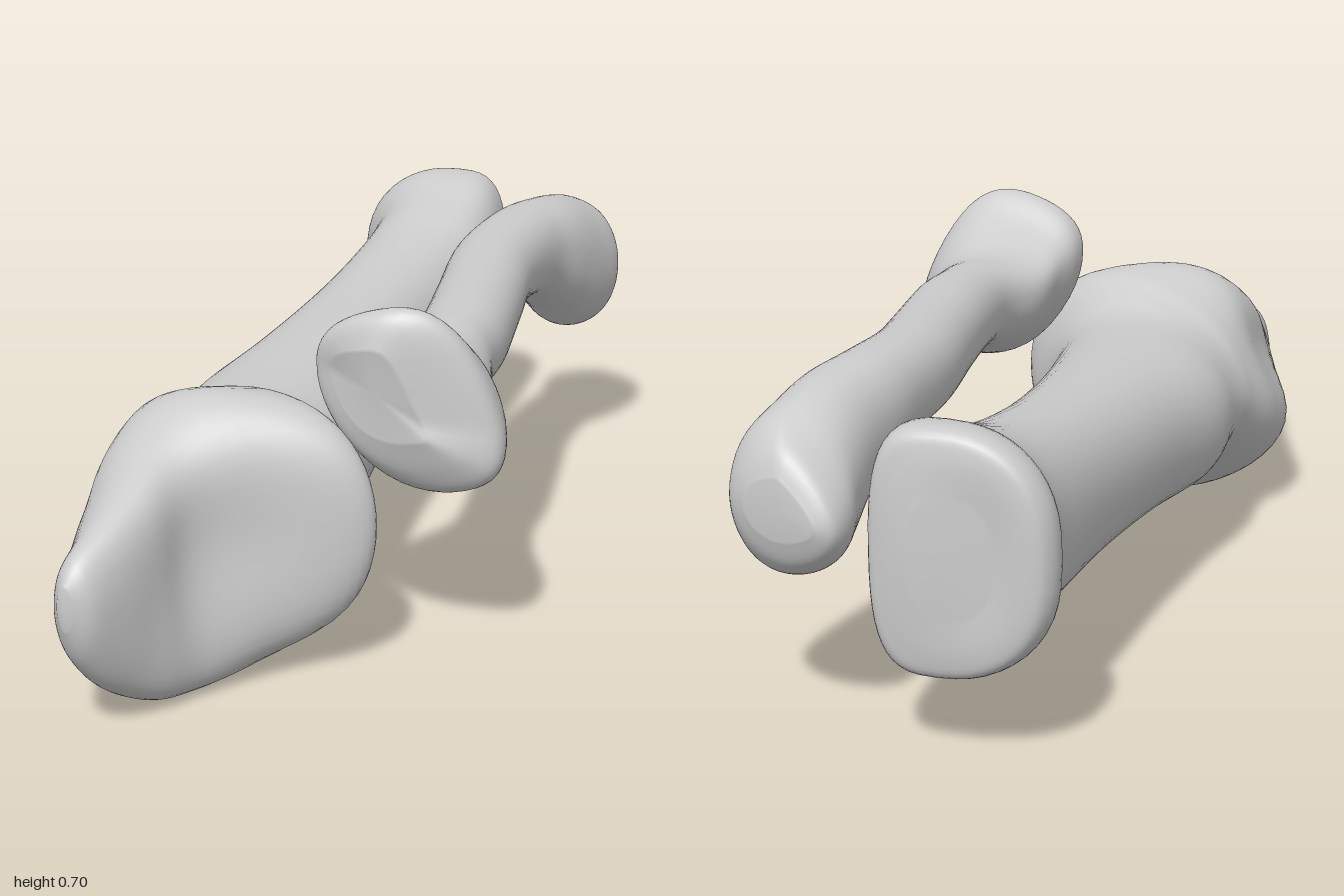
import * as THREE from 'three';

const SIDES = 48, STEPS = 6;

// Catmull-Rom blend of the numbers in neighbouring rows
function blend(rows, i, t) {
  const row = k => rows[Math.min(Math.max(k, 0), rows.length - 1)];
  const [a, b, c, d] = [row(i - 1), row(i), row(i + 1), row(i + 2)];
  return b.map((v, k) => v + 0.5 * t * (c[k] - a[k]
    + t * (2 * a[k] - 5 * v + 4 * c[k] - d[k] + t * (3 * (v - c[k]) + d[k] - a[k]))));
}

// Row: back x, back z, front x, front z, bottom y, top y, forward lean of the crest, roundness power
function loftBone(rows, sculpt) {
  const rings = [];
  for (let i = 0; i < rows.length - 1; i++)
    for (let s = 0; s < STEPS; s++) rings.push(blend(rows, i, s / STEPS));
  rings.push(rows[rows.length - 1]);

  const pos = [], index = [], p = new THREE.Vector3();
  const add = () => pos.push(p.x, p.y, p.z);
  for (const [xb, zb, xf, zf, y0, y1, lean, power] of rings) {
    for (let j = 0; j < SIDES; j++) {
      const a = j / SIDES * Math.PI * 2, c = Math.cos(a), s = Math.sin(a);
      const u = Math.sign(c) * Math.abs(c) ** (2 / power);
      const v = Math.sign(s) * Math.abs(s) ** (2 / power);
      const w = (1 + u + lean * (1 - u * u)) / 2;
      p.set(xb + (xf - xb) * w, (y0 + y1) / 2 + v * (y1 - y0) / 2, zb + (zf - zb) * w);
      sculpt(p, u, v);
      add();
    }
  }
  for (let r = 0; r < rings.length - 1; r++)
    for (let j = 0; j < SIDES; j++) {
      const a = r * SIDES + j, b = r * SIDES + (j + 1) % SIDES;
      index.push(a, a + SIDES, b, b, a + SIDES, b + SIDES);
    }
  // rounded-off ends close to a centre point
  const n = rings.length;
  for (const [r, start] of [[0, true], [n - 1, false]]) {
    const [xb, zb, xf, zf, y0, y1] = rings[r];
    p.set((xb + xf) / 2 + (start ? -0.004 : 0.004), (y0 + y1) / 2, (zb + zf) / 2);
    const centre = pos.length / 3;
    add();
    for (let j = 0; j < SIDES; j++) {
      const a = r * SIDES + j, b = r * SIDES + (j + 1) % SIDES;
      if (start) index.push(centre, a, b); else index.push(centre, b, a);
    }
  }
  const g = new THREE.BufferGeometry();
  g.setAttribute('position', new THREE.Float32BufferAttribute(pos, 3));
  g.setIndex(index);
  g.computeVertexNormals();
  return g;
}

const bump = (v, centre, width) => Math.exp(-(((v - centre) / width) ** 2));

export function createModel() {
  const group = new THREE.Group();
  const material = new THREE.MeshStandardMaterial({ color: 0xcccccc });
  const addBone = (name, geometry) => {
    const mesh = new THREE.Mesh(geometry, material);
    mesh.name = name;
    group.add(mesh);
  };

  // thick bone: flared plate-like head, straight shaft, boxy far end
  const large = [
    [-1.0, 0.12, -0.995, 0.15, 0.22, 0.3, 0, 2],
    [-0.97, 0.085, -0.965, 0.178, 0.15, 0.34, 0, 2],
    [-0.9, 0.04, -0.9, 0.19, 0.075, 0.375, 0.2, 2.1],
    [-0.8, -0.05, -0.8, 0.2, 0.018, 0.42, 0.45, 2.1],
    [-0.7, -0.13, -0.7, 0.215, 0, 0.47, 0.5, 2.1],
    [-0.58, -0.17, -0.58, 0.285, 0.008, 0.53, 0.35, 2],
    [-0.48, -0.17, -0.46, 0.385, 0.055, 0.525, 0.22, 2],
    [-0.42, -0.175, -0.4, 0.365, 0.09, 0.495, 0.15, 2],
    [-0.36, -0.19, -0.34, 0.265, 0.115, 0.465, 0.05, 2.1],
    [-0.23, -0.238, -0.2, 0.185, 0.125, 0.46, 0, 2.2],
    [0, -0.28, 0.1, 0.045, 0.15, 0.47, 0, 2.2],
    [0.3, -0.355, 0.4, -0.07, 0.17, 0.49, 0, 2.2],
    [0.55, -0.43, 0.65, -0.135, 0.175, 0.52, 0, 2.3],
    [0.72, -0.485, 0.77, -0.175, 0.17, 0.56, 0.1, 2.5],
    [0.8, -0.55, 0.87, -0.215, 0.15, 0.595, 0.25, 2.6],
    [0.85, -0.555, 0.945, -0.25, 0.155, 0.595, 0.25, 2.6],
    [0.875, -0.525, 0.955, -0.285, 0.195, 0.555, 0.15, 2.6],
    [0.89, -0.47, 0.95, -0.33, 0.27, 0.48, 0, 2.4],
  ];
  addBone('largeBone', loftBone(large, (p, u, v) => {
    const head = bump(p.x, -0.65, 0.15);
    // top rim set back, hollow joint face in front, groove along the back
    p.z -= 0.07 * head * Math.max(v, 0) * (1 - u * u);
    if (u > 0) p.z -= 0.05 * u * head * bump(p.y, 0.32, 0.18);
    else p.z -= 0.06 * u * head * bump(v, 0.4, 0.4);
  }));

  // slim bone: pointed collar at one end, drooping knuckle at the other
  const small = [
    [-0.41, 0.27, -0.375, 0.44, 0.45, 0.62, 0.1, 2],
    [-0.405, 0.23, -0.325, 0.51, 0.385, 0.68, 0.1, 2],
    [-0.36, 0.215, -0.28, 0.55, 0.34, 0.695, 0.1, 2],
    [-0.3, 0.215, -0.22, 0.525, 0.35, 0.645, 0.1, 2],
    [-0.23, 0.21, -0.14, 0.445, 0.39, 0.595, 0, 2.1],
    [-0.12, 0.215, -0.04, 0.375, 0.422, 0.595, 0, 2.2],
    [0, 0.17, 0.08, 0.33, 0.427, 0.6, 0, 2.2],
    [0.2, 0.07, 0.28, 0.23, 0.435, 0.605, 0, 2.2],
    [0.4, -0.03, 0.47, 0.135, 0.435, 0.615, 0, 2.2],
    [0.6, -0.09, 0.64, 0.085, 0.42, 0.62, 0, 2.2],
    [0.74, -0.12, 0.76, 0.08, 0.355, 0.612, 0, 2.2],
    [0.84, -0.155, 0.86, 0.07, 0.29, 0.595, 0, 2.1],
    [0.91, -0.19, 0.94, 0.055, 0.285, 0.565, 0.1, 2.1],
    [0.965, -0.195, 0.98, 0.025, 0.32, 0.525, 0, 2],
    [0.99, -0.165, 0.997, -0.02, 0.37, 0.48, 0, 2],
  ];
  addBone('smallBone', loftBone(small, (p, u, v) => {
    // collar: crown narrower and tipped outward, front corner sags
    const collar = bump(p.x, -0.33, 0.13);
    p.y -= 0.05 * collar * u * (1 - v * v);
    p.z -= 0.025 * collar * v * (1 + u - 0.8 * Math.max(v, 0));
    p.x -= 0.03 * collar * Math.max(v, 0);
    // knuckle: back corner droops and the crown slopes down to it
    if (u < 0) p.y += 0.05 * bump(p.x, 0.95, 0.1) * u * (1 + v) / 2;
  }));

  return group;
}
